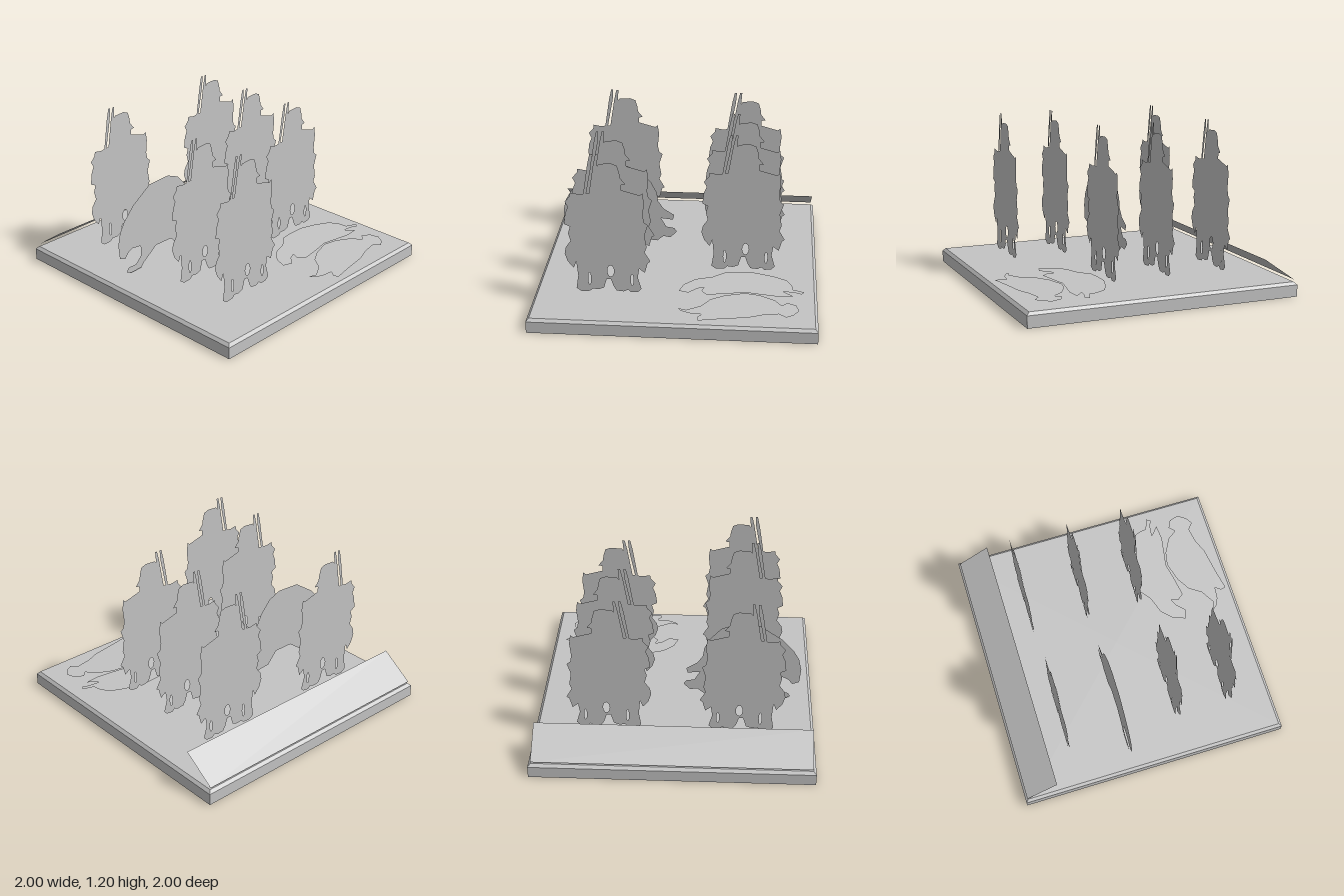
import * as THREE from 'three';

const grey = new THREE.MeshStandardMaterial({ color: 0xc4c4c4, side: THREE.DoubleSide });
grey.name = 'plain grey';

function add(parent, name, geometry) {
  const mesh = new THREE.Mesh(geometry, grey);
  mesh.name = name;
  parent.add(mesh);
  return mesh;
}

const outline = (points) => new THREE.Shape(points.map(([x, y]) => new THREE.Vector2(x, y)));

// Oval opening between the legs
function oval(x, y, rx, ry) {
  const hole = new THREE.Path();
  hole.absellipse(x, y, rx, ry, 0, Math.PI * 2, true);
  return hole;
}

// Mounted soldier seen head-on, with two raised spears
function riderShapes() {
  const body = outline([
    // head and plume
    [-0.12, 0.91], [-0.10, 0.99], [-0.09, 1.08], [-0.05, 1.13], [0.03, 1.135], [0.07, 1.12], [0.085, 1.07],
    [0.09, 1.03], [0.125, 0.985], [0.095, 0.98], [0.095, 0.94],
    // right-hand edge
    [0.22, 0.905], [0.24, 0.92], [0.25, 0.85], [0.24, 0.75], [0.25, 0.70], [0.275, 0.68], [0.25, 0.60],
    [0.265, 0.51], [0.25, 0.47], [0.29, 0.40], [0.27, 0.385], [0.25, 0.31], [0.21, 0.34],
    // legs
    [0.20, 0.27], [0.225, 0.18], [0.20, 0.155], [0.15, 0.15], [0.13, 0.17], [0.10, 0.155], [0.05, 0.16],
    [0.03, 0.19], [0.01, 0.25], [-0.02, 0.25], [-0.04, 0.18], [-0.08, 0.165], [-0.12, 0.17],
    [-0.14, 0.15], [-0.20, 0.145], [-0.235, 0.17], [-0.22, 0.27], [-0.23, 0.38],
    // left-hand edge
    [-0.25, 0.33], [-0.29, 0.38], [-0.31, 0.44], [-0.30, 0.49], [-0.265, 0.54], [-0.28, 0.60], [-0.265, 0.65],
    [-0.305, 0.67], [-0.295, 0.75], [-0.275, 0.80], [-0.295, 0.84], [-0.26, 0.88], [-0.255, 0.91], [-0.20, 0.90]
  ]);
  body.holes.push(
    oval(0.01, 0.315, 0.024, 0.045),
    oval(-0.14, 0.25, 0.01, 0.05),
    oval(0.16, 0.25, 0.01, 0.045)
  );
  const spears = [[-0.165, 0.902], [-0.125, 0.91]].map(([x, y]) => outline([
    [x, y], [x + 0.02, y], [x + 0.062, 1.12], [x + 0.068, 1.2], [x + 0.052, 1.2], [x + 0.034, 1.12]
  ]));
  return [body, ...spears];
}

// Stooping horse in side view
const horse = [
  [-0.90, 0.27], [-0.85, 0.25], [-0.82, 0.29], [-0.78, 0.31], [-0.70, 0.30], [-0.70, 0.22], [-0.75, 0.17],
  [-0.82, 0.17], [-0.84, 0.14], [-0.80, 0.12], [-0.70, 0.125], [-0.67, 0.16], [-0.55, 0.25], [-0.40, 0.25],
  [-0.32, 0.16], [-0.20, 0.15], [-0.15, 0.19], [-0.10, 0.18], [-0.05, 0.23], [-0.07, 0.26], [-0.13, 0.27],
  [-0.17, 0.34], [-0.08, 0.33], [-0.07, 0.37], [-0.15, 0.42], [-0.19, 0.48], [-0.20, 0.55], [-0.24, 0.63],
  [-0.32, 0.72], [-0.42, 0.76], [-0.60, 0.75], [-0.76, 0.64], [-0.85, 0.54], [-0.89, 0.47], [-0.91, 0.38]
];

// Fallen animals lying on the ground, as x and z
const fallenBack = [
  [0.02, 0.57], [0.05, 0.48], [0.13, 0.40], [0.25, 0.36], [0.34, 0.29], [0.43, 0.28], [0.55, 0.28], [0.68, 0.32],
  [0.78, 0.37], [0.82, 0.44], [0.83, 0.50], [0.91, 0.53], [0.89, 0.56], [0.84, 0.54], [0.76, 0.53], [0.83, 0.59],
  [0.72, 0.60], [0.60, 0.58], [0.49, 0.56], [0.37, 0.585], [0.22, 0.61], [0.18, 0.56], [0.20, 0.51], [0.15, 0.53],
  [0.09, 0.59]
];
const fallenFront = [
  [0.03, 0.80], [0.09, 0.82], [0.14, 0.79], [0.19, 0.76], [0.25, 0.67], [0.35, 0.61], [0.49, 0.57], [0.59, 0.59],
  [0.70, 0.65], [0.75, 0.72], [0.79, 0.68], [0.85, 0.71], [0.87, 0.78], [0.83, 0.84], [0.78, 0.87], [0.73, 0.83],
  [0.62, 0.85], [0.52, 0.89], [0.33, 0.92], [0.18, 0.95], [0.17, 0.91], [0.20, 0.87], [0.11, 0.86], [0.05, 0.83]
];

export function createModel() {
  const model = new THREE.Group();
  model.name = 'cavalryTray';

  // Square base with a bevelled top edge
  const base = new THREE.Group();
  base.name = 'base';
  model.add(base);
  add(base, 'baseSlab', new THREE.BoxGeometry(2, 0.085, 2)).position.y = 0.0425;
  const bevel = new THREE.CylinderGeometry(0.98 * Math.SQRT2, Math.SQRT2, 0.02, 4, 1).toNonIndexed();
  bevel.rotateY(Math.PI / 4);
  bevel.computeVertexNormals();
  add(base, 'baseBevel', bevel).position.y = 0.095;

  // Sloping panel rising from the back edge
  const rise = 0.165, run = 0.235;
  const panel = new THREE.PlaneGeometry(1.96, Math.hypot(rise, run));
  panel.rotateX(Math.PI / 2 - Math.atan2(rise, run));
  panel.rotateY(Math.PI);
  // Lower edge at the back, upper edge toward the middle
  const p = panel.attributes.position;
  for (let i = 0; i < p.count; i++) {
    const upper = i < 2;
    p.setXYZ(i, i % 2 ? -0.98 : 0.98, upper ? 0.285 : 0.12, upper ? -0.75 : -0.985);
  }
  panel.computeVertexNormals();
  add(model, 'backPanel', panel);

  // Rows of flat mounted figures
  const riderGeometry = new THREE.ShapeGeometry(riderShapes(), 6);
  const places = [
    [-0.46, 0.65], [-0.47, 0.25], [-0.47, -0.59],
    [0.47, 0.25], [0.47, -0.16], [0.47, -0.59]
  ];
  places.forEach(([x, z], i) => {
    add(model, `rider${i + 1}`, riderGeometry).position.set(x, 0, z);
  });

  // Riderless horse in the left-hand file
  add(model, 'stoopingHorse', new THREE.ShapeGeometry(outline(horse))).position.z = -0.16;

  // Animals lying flat, tilted very slightly
  [['fallenBack', fallenBack], ['fallenFront', fallenFront]].forEach(([name, points]) => {
    const geometry = new THREE.ShapeGeometry(outline(points.map(([x, z]) => [x, -z])));
    geometry.rotateX(-Math.PI / 2 + 0.03);
    add(model, name, geometry).position.y = 0.148;
  });

  return model;
}
